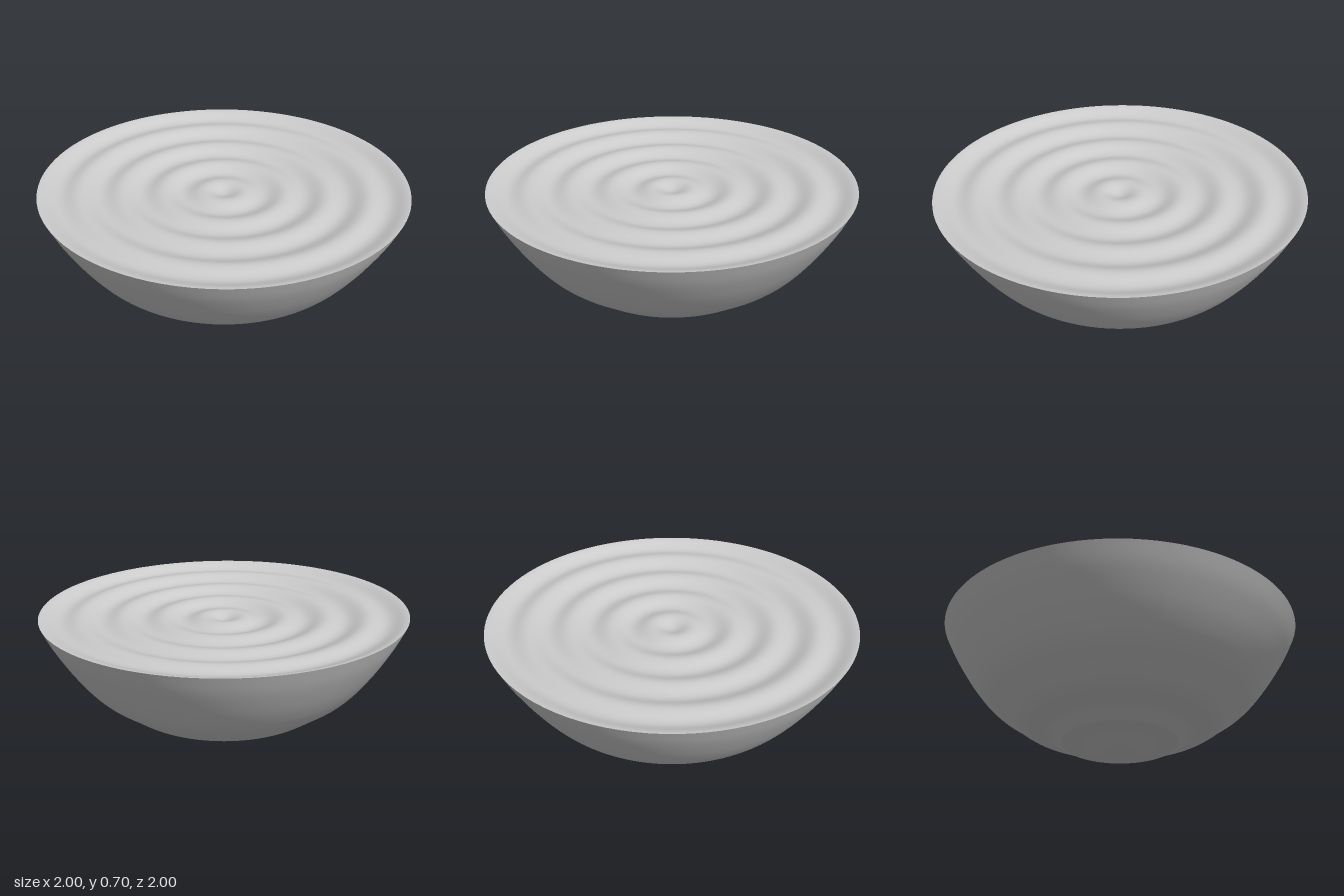
import * as THREE from 'three';

const SEGMENTS = 96;

// Slight lean of the rim towards +x, fading out down the wall
function leanRim(geometry) {
  const p = geometry.attributes.position;
  for (let i = 0; i < p.count; i++) {
    const y = p.getY(i);
    p.setY(i, y - 0.008 * p.getX(i) * THREE.MathUtils.smoothstep(y, 0.3, 0.7));
  }
  geometry.computeVertexNormals();
  return geometry;
}

export function createModel() {
  const group = new THREE.Group();
  group.name = 'rippledBowl';
  const material = new THREE.MeshStandardMaterial({ color: 0xcccccc, side: THREE.DoubleSide });
  const add = (name, points) => {
    const mesh = new THREE.Mesh(leanRim(new THREE.LatheGeometry(points, SEGMENTS)), material);
    mesh.name = name;
    group.add(mesh);
  };

  // Outer wall: stepped waves near the foot, a plain flare above
  const wall = new THREE.SplineCurve([
    [0.1, 0], [0.16, 0.02], [0.23, 0.038], [0.31, 0.046], [0.34, 0.06],
    [0.4, 0.097], [0.48, 0.127], [0.54, 0.152], [0.585, 0.18], [0.64, 0.222],
    [0.71, 0.272], [0.765, 0.323], [0.82, 0.39], [0.88, 0.475], [0.95, 0.59], [1, 0.692],
  ].map(([r, y]) => new THREE.Vector2(r, y)));
  add('outerWall', wall.getPoints(75));

  // Flat foot
  add('foot', [new THREE.Vector2(0, 0), new THREE.Vector2(0.1, 0)]);

  // Shallow dished top with concentric ripples, from the rim to the centre
  const top = [];
  for (let i = 0; i <= 120; i++) {
    const r = 1 - i / 120;
    const ripple = 0.012 * Math.cos((2 * Math.PI * r) / 0.222);
    top.push(new THREE.Vector2(r, 0.635 + 0.045 * r * r - ripple));
  }
  add('rippledTop', top);

  return group;
}
